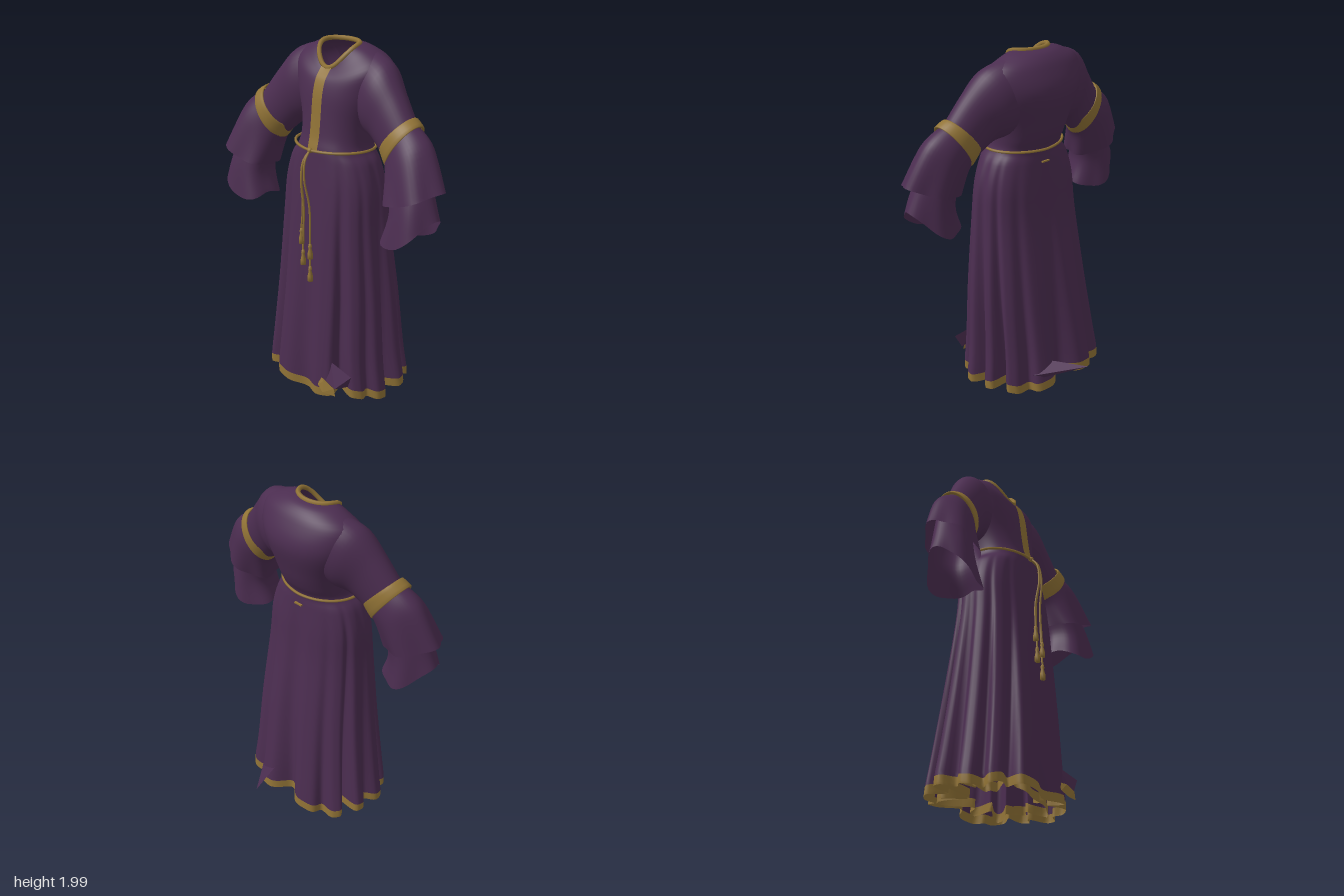
import * as THREE from 'three';
import { ConvexGeometry } from 'three/addons/geometries/ConvexGeometry.js';

const TAU = Math.PI * 2;
const purple = new THREE.MeshStandardMaterial({ color: 0x4b2d50, side: THREE.DoubleSide });
purple.name = 'purple cloth';
const gold = new THREE.MeshStandardMaterial({ color: 0x917336, side: THREE.DoubleSide });
gold.name = 'gold trim';

// Smooth interpolation through rows of numbers, t counted in rows
function sample(rows, t) {
  const n = rows.length - 1, i = Math.min(Math.floor(t), n - 1), f = t - i;
  const a = rows[Math.max(i - 1, 0)], b = rows[i], c = rows[i + 1], d = rows[Math.min(i + 2, n)];
  return b.map((_, k) => {
    const m0 = (c[k] - a[k]) / 2, m1 = (d[k] - b[k]) / 2;
    return b[k] + f * m0 + f * f * (3 * (c[k] - b[k]) - 2 * m0 - m1)
      + f * f * f * (2 * (b[k] - c[k]) + m0 + m1);
  });
}
const pow = (v, e) => Math.sign(v) * Math.abs(v) ** e;

// Skin over point(t, angle); a full turn is welded so it shades smoothly
function skin(point, t0, t1, rows, cols, a0 = 0, a1 = TAU) {
  const closed = a1 - a0 > TAU - 0.001, w = closed ? cols : cols + 1;
  const pos = [], idx = [];
  for (let r = 0; r <= rows; r++) {
    for (let c = 0; c < w; c++) {
      pos.push(...point(t0 + (t1 - t0) * r / rows, a0 + (a1 - a0) * c / cols).toArray());
    }
  }
  for (let r = 0; r < rows; r++) {
    for (let c = 0; c < cols; c++) {
      const p = r * w + c, q = r * w + (c + 1) % w;
      idx.push(p, q, p + w, q, q + w, p + w);
    }
  }
  const g = new THREE.BufferGeometry();
  g.setAttribute('position', new THREE.Float32BufferAttribute(pos, 3));
  g.setIndex(idx);
  g.computeVertexNormals();
  return g;
}

// Gown rings: yBack, yFront, xMin, xMax, zBack, zFront, fold depth
const gown = [
  [1.985, 1.86, -0.125, 0.11, 0, 0.185, 0],
  [1.965, 1.84, -0.2, 0.19, -0.06, 0.205, 0],
  [1.9, 1.8, -0.3, 0.3, -0.115, 0.235, 0],
  [1.77, 1.72, -0.29, 0.29, -0.16, 0.258, 0],
  [1.6, 1.6, -0.23, 0.23, -0.12, 0.272, 0],
  [1.5, 1.5, -0.21, 0.21, -0.085, 0.285, 0],
  [1.43, 1.43, -0.215, 0.215, -0.05, 0.302, 0],
  [1.36, 1.36, -0.27, 0.265, -0.055, 0.31, 0.02],
  [1.22, 1.22, -0.315, 0.31, -0.07, 0.325, 0.05],
  [1.0, 1.0, -0.335, 0.33, -0.09, 0.345, 0.09],
  [0.6, 0.6, -0.38, 0.365, -0.15, 0.375, 0.17],
  [0.25, 0.25, -0.43, 0.385, -0.2, 0.4, 0.25],
  [0.07, 0.07, -0.46, 0.405, -0.225, 0.41, 0.3],
  [0.02, 0.02, -0.46, 0.405, -0.23, 0.41, 0.3],
];
// Broad pleats with narrow valleys, one of them at the front centre
function gownPoint(t, a, off = 0) {
  const [yb, yf, x0, x1, zb, zf, fold] = sample(gown, t);
  const s = Math.sin(a), c = Math.cos(a), e = 1 - 0.15 * Math.min(1, t / 6);
  const valley = ((1 - Math.cos(12 * (a - Math.PI / 2) + Math.PI + 1.3 * Math.sin(2 * a))) / 2) ** 2.5;
  const k = 1 - fold * valley * (0.7 + 0.3 * Math.cos(5 * a + 1));
  return new THREE.Vector3(
    (x0 + x1) / 2 + (x1 - x0) / 2 * pow(c, e) * k + c * off,
    yb + (yf - yb) * ((1 + s) / 2) ** 4 + 0.045 * fold * Math.cos(5 * a + 2),
    (zb + zf) / 2 + (zf - zb) / 2 * pow(s, e) * k + s * off);
}
// Point on the gown front at a given x, just off the cloth
function bandPoint(t, x) {
  const [, , x0, x1] = sample(gown, t), e = 1 - 0.15 * Math.min(1, t / 6);
  return gownPoint(t, Math.acos(pow((2 * x - x0 - x1) / (x1 - x0), 1 / e)), 0.007);
}
// Bunched inner cloth near the hem
function liningPoint(t, a) {
  const p = gownPoint(t, a), k = 0.75 + 0.14 * Math.cos(11 * a + 1) + 0.07 * Math.cos(17 * a);
  return new THREE.Vector3(p.x * k, p.y + 0.015 + 0.02 * Math.cos(6 * a), 0.09 + (p.z - 0.09) * k);
}

// Sleeve rings: outer x, y, inner x, y, zBack, zFront, sag, ripple
const upperArm = [
  [0.2, 1.955, 0.1, 1.6, -0.1, 0.17, 0, 0],
  [0.33, 1.905, 0.2, 1.53, -0.07, 0.205, 0, 0],
  [0.44, 1.78, 0.28, 1.5, -0.01, 0.21, 0, 0],
  [0.545, 1.64, 0.375, 1.42, 0.03, 0.22, 0, 0],
];
const cuff = [
  [0.528, 1.665, 0.36, 1.45, 0.018, 0.228, 0, 0],
  [0.535, 1.672, 0.352, 1.455, 0.01, 0.236, 0, 0],
  [0.582, 1.642, 0.4, 1.385, 0.018, 0.25, 0, 0],
  [0.57, 1.63, 0.41, 1.395, 0.03, 0.235, 0, 0],
];
const outerBell = [
  [0.55, 1.64, 0.385, 1.41, 0.03, 0.23, 0, 0],
  [0.67, 1.55, 0.415, 1.35, 0.03, 0.275, 0, 0.02],
  [0.785, 1.34, 0.44, 1.23, 0.05, 0.335, 0.02, 0.07],
];
const innerBell = [
  [0.64, 1.5, 0.42, 1.38, 0.06, 0.24, 0, 0],
  [0.72, 1.3, 0.48, 1.2, 0.07, 0.31, 0.03, 0.03],
  [0.765, 1.19, 0.44, 1.055, 0.06, 0.35, 0.09, 0.06],
];
const armPoint = rows => (t, a) => {
  const [ox, oy, ix, iy, zb, zf, sag, ripple] = sample(rows, t);
  const s = Math.sin(a), u = Math.cos(a) / 2, k = 1 + ripple * (Math.cos(5 * a + 1) - 0.5);
  return new THREE.Vector3(
    (ox + ix) / 2 + (ox - ix) * u * k,
    (oy + iy) / 2 + (oy - iy) * u * k - sag * s * s,
    (zb + zf) / 2 + (zf - zb) / 2 * s * k);
};

export function createModel() {
  const model = new THREE.Group();
  const add = (name, geo, mat, parent = model) => {
    const m = new THREE.Mesh(geo, mat);
    m.name = name;
    parent.add(m);
  };
  const tube = (pts, r, closed = false, n = 24) =>
    new THREE.TubeGeometry(new THREE.CatmullRomCurve3(pts, closed), n, r, 6, closed);
  const ring = (n, f) => Array.from({ length: n }, (_, i) => f(i / n * TAU));

  // Gown, hem and inner cloth
  add('gown', skin(gownPoint, 0, 12, 60, 180), purple);
  add('hemTrim', skin(gownPoint, 12, 13, 2, 180), gold);
  add('lining', skin(liningPoint, 10.8, 12, 6, 120), purple);
  add('liningTrim', skin(liningPoint, 12, 13, 2, 120), gold);

  // Collar and front band
  add('collar', tube(ring(32, a => gownPoint(0.06, a)), 0.0135, true, 64), gold);
  add('frontBand', skin(bandPoint, 0.1, 6, 40, 8, 0.027, -0.042), gold);

  // Sleeves with cuff bands and two flared layers
  for (const side of [1, -1]) {
    const sleeve = new THREE.Group();
    sleeve.name = side > 0 ? 'leftSleeve' : 'rightSleeve';
    sleeve.scale.x = side;
    model.add(sleeve);
    add('upperSleeve', skin(armPoint(upperArm), 0, 3, 18, 40), purple, sleeve);
    add('outerBell', skin(armPoint(outerBell), 0, 2, 14, 48), purple, sleeve);
    add('innerBell', skin(armPoint(innerBell), 0, 2, 14, 48), purple, sleeve);
    add('cuffBand', skin(armPoint(cuff), 0, 3, 9, 40), gold, sleeve);
  }

  // Belt cord, front knot and back loop
  add('belt', tube(ring(24, a => new THREE.Vector3(
    -0.003 + 0.245 * Math.cos(a), 1.43 + 0.008 * Math.abs(Math.cos(a)), 0.13 + 0.19 * Math.sin(a))), 0.008, true, 72), gold);
  add('knot', new THREE.SphereGeometry(0.015, 10, 8).translate(-0.01, 1.43, 0.322), gold);
  add('backLoop', new THREE.BoxGeometry(0.05, 0.008, 0.012).translate(0, 1.36, -0.058), gold);

  // Hanging cords, each ending in a tassel: x, top of tassel
  const profile = [[0, 0], [0.008, -0.004], [0.011, -0.02], [0.008, -0.03], [0.015, -0.06], [0.016, -0.09], [0, -0.092]]
    .map(p => new THREE.Vector2(...p)).reverse();
  for (const [x, y] of [[-0.045, 0.985], [-0.035, 0.86], [0.02, 0.91], [0.018, 0.775]]) {
    add('cord', tube([
      new THREE.Vector3(-0.01, 1.43, 0.325), new THREE.Vector3(-0.01 + x * 0.2, 1.38, 0.365),
      new THREE.Vector3(x * 0.4 - 0.006, 1.28, 0.38), new THREE.Vector3(x * 0.8, 1.12, 0.358),
      new THREE.Vector3(x, y, 0.362)], 0.0055), gold);
    add('tassel', new THREE.LatheGeometry(profile, 10).translate(x, y, 0.362), gold);
  }

  // Stray pointed folds at the hem
  const wedge = (name, mat, ...pts) =>
    add(name, new ConvexGeometry(pts.map(p => new THREE.Vector3(...p))), mat);
  wedge('backPoint', purple, [0, 0.2, -0.42], [0.2, 0.11, -0.17], [0.08, 0.17, -0.18], [0.15, 0.09, -0.2]);
  wedge('frontPoint', purple, [0.34, 0.2, 0.375], [0.11, 0.13, 0.38], [0.17, 0.23, 0.36], [0.24, 0.1, 0.405], [0.3, 0.12, 0.36]);
  wedge('frontPointTrim', gold, [0.11, 0.13, 0.385], [0.11, 0.08, 0.405], [0.16, 0.055, 0.42], [0.25, 0.06, 0.41], [0.24, 0.105, 0.411], [0.16, 0.125, 0.41]);
  return model;
}
